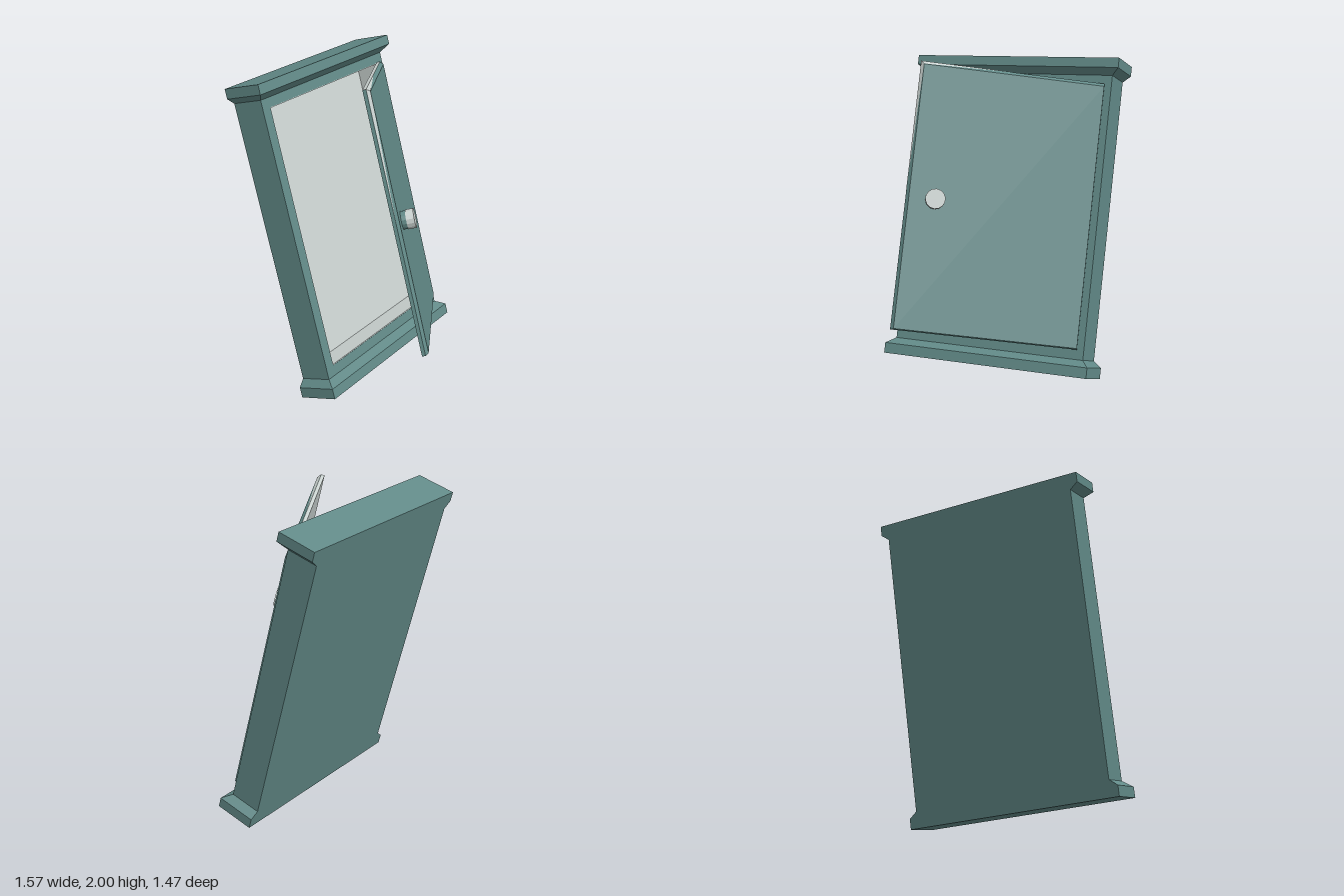
import * as THREE from 'three';

const teal = new THREE.MeshStandardMaterial({ color: 0x628a88, flatShading: true, side: THREE.DoubleSide });
teal.name = 'teal paint';
const pale = new THREE.MeshStandardMaterial({ color: 0xccd4d2, flatShading: true, side: THREE.DoubleSide });
pale.name = 'pale grey';

function add(parent, name, geometry, material, x = 0, y = 0, z = 0) {
  const mesh = new THREE.Mesh(geometry, material);
  mesh.name = name;
  mesh.position.set(x, y, z);
  parent.add(mesh);
  return mesh;
}

// Box between two corners
function boxBetween(parent, name, a, b, material) {
  const size = a.map((v, i) => b[i] - v);
  const mid = a.map((v, i) => (v + b[i]) / 2);
  return add(parent, name, new THREE.BoxGeometry(...size), material, ...mid);
}

// Stack of rectangles [y, x0, x1, z0, z1], listed from low to high, with capped ends
function loft(sections) {
  const pts = [];
  const idx = [];
  for (const [y, x0, x1, z0, z1] of sections) pts.push(x0, y, z1, x1, y, z1, x1, y, z0, x0, y, z0);
  for (let s = 0; s < sections.length - 1; s++) {
    for (let i = 0; i < 4; i++) {
      const a = s * 4 + i, b = s * 4 + (i + 1) % 4;
      idx.push(a, b, b + 4, a, b + 4, a + 4);
    }
  }
  const t = (sections.length - 1) * 4;
  idx.push(0, 2, 1, 0, 3, 2, t, t + 1, t + 2, t, t + 2, t + 3);
  const g = new THREE.BufferGeometry();
  g.setAttribute('position', new THREE.Float32BufferAttribute(pts, 3));
  g.setIndex(idx);
  const flat = g.toNonIndexed();
  flat.computeVertexNormals();
  return flat;
}

export function createModel() {
  const model = new THREE.Group();
  model.name = 'wallCabinet';

  // Cabinet leans back and is turned to one side
  const cabinet = new THREE.Group();
  cabinet.name = 'cabinet';
  cabinet.rotation.set(-Math.PI / 12, Math.PI / 12, 0, 'YXZ');
  model.add(cabinet);

  const cx = 0.053, back = -0.038, front = 0.168, lip = 0.22;
  const body = [cx - 0.657, cx + 0.657, back, front];
  const wide = [cx - 0.708, cx + 0.708, back, lip];

  // Base and crown mouldings, flush at the back
  add(cabinet, 'base', loft([[0.013, ...wide], [0.08, ...wide], [0.12, ...body]]), teal);
  add(cabinet, 'crown', loft([[1.91, ...body], [1.95, ...wide], [2.012, ...wide]]), teal);

  // Case walls with the door opening
  const l = cx - 0.587, r = cx + 0.587, b = 0.185, t = 1.85;
  const outline = new THREE.Shape();
  outline.moveTo(body[0], 0.12).lineTo(body[1], 0.12).lineTo(body[1], 1.91).lineTo(body[0], 1.91).closePath();
  const hole = new THREE.Path();
  hole.moveTo(l, b).lineTo(l, t).lineTo(r, t).lineTo(r, b).closePath();
  outline.holes.push(hole);
  const walls = new THREE.ExtrudeGeometry(outline, { depth: front - back, bevelEnabled: false });
  add(cabinet, 'caseWalls', walls, teal, 0, 0, back);
  boxBetween(cabinet, 'backPanel', [l, b, back], [r, t, 0.01], teal);

  // Pale interior lining
  const e = 0.005, z0 = 0.01, z1 = front - 0.002;
  boxBetween(cabinet, 'backLining', [l, b, z0], [r, t, z0 + e], pale);
  boxBetween(cabinet, 'floorLining', [l, b, z0], [r, b + e, z1], pale);
  boxBetween(cabinet, 'ceilingLining', [l, t - e, z0], [r, t, z1], pale);
  boxBetween(cabinet, 'leftLining', [r - e, b, z0], [r, t, z1], pale);
  boxBetween(cabinet, 'rightLining', [l, b, z0], [l + e, t, z1], pale);

  // Open door, swung about its hinge
  const door = new THREE.Group();
  door.name = 'door';
  door.position.set(0.668, 0, 0.18);
  door.rotation.y = THREE.MathUtils.degToRad(29);
  cabinet.add(door);
  const w = 1.157, lo = 0.181, hi = 1.853, bevel = 0.02;

  // Board: pale on top and inside, painted on the other edges
  boxBetween(door, 'doorBoard', [-w, lo, -0.022], [0, hi, 0], [teal, teal, pale, teal, teal, pale]);

  // Front panel with bevelled rim
  const panel = loft([
    [0, -w, 0, -hi, -lo],
    [bevel, -w + bevel, -0.004, -hi + bevel, -lo - 0.008],
  ]);
  panel.rotateX(Math.PI / 2);
  add(door, 'doorFront', panel, teal);

  // Pale wedges along the top and free edges
  const wedge = (name, p) => {
    const g = new THREE.BufferGeometry();
    g.setAttribute('position', new THREE.Float32BufferAttribute(p, 3));
    g.computeVertexNormals();
    add(door, name, g, pale, -0.001, 0.001, 0.001);
  };
  const mid = (lo + hi) / 2;
  wedge('freeEdgeWedge', [-w, hi, 0, -w, mid, 0, -w + bevel, hi - bevel, bevel]);
  wedge('topEdgeWedge', [-w, hi, 0, -w + bevel, hi - bevel, bevel, -w * 0.5, hi, 0]);

  // Knob: painted collar and pale cap
  const knob = new THREE.Group();
  knob.name = 'knob';
  knob.position.set(-0.975, 1.0, bevel);
  knob.rotation.x = Math.PI / 2;
  door.add(knob);
  add(knob, 'knobCollar', new THREE.CylinderGeometry(0.058, 0.058, 0.03, 14), teal, 0, 0.015, 0);
  add(knob, 'knobCap', new THREE.CylinderGeometry(0.062, 0.062, 0.05, 14), pale, 0, 0.055, 0);

  return model;
}
